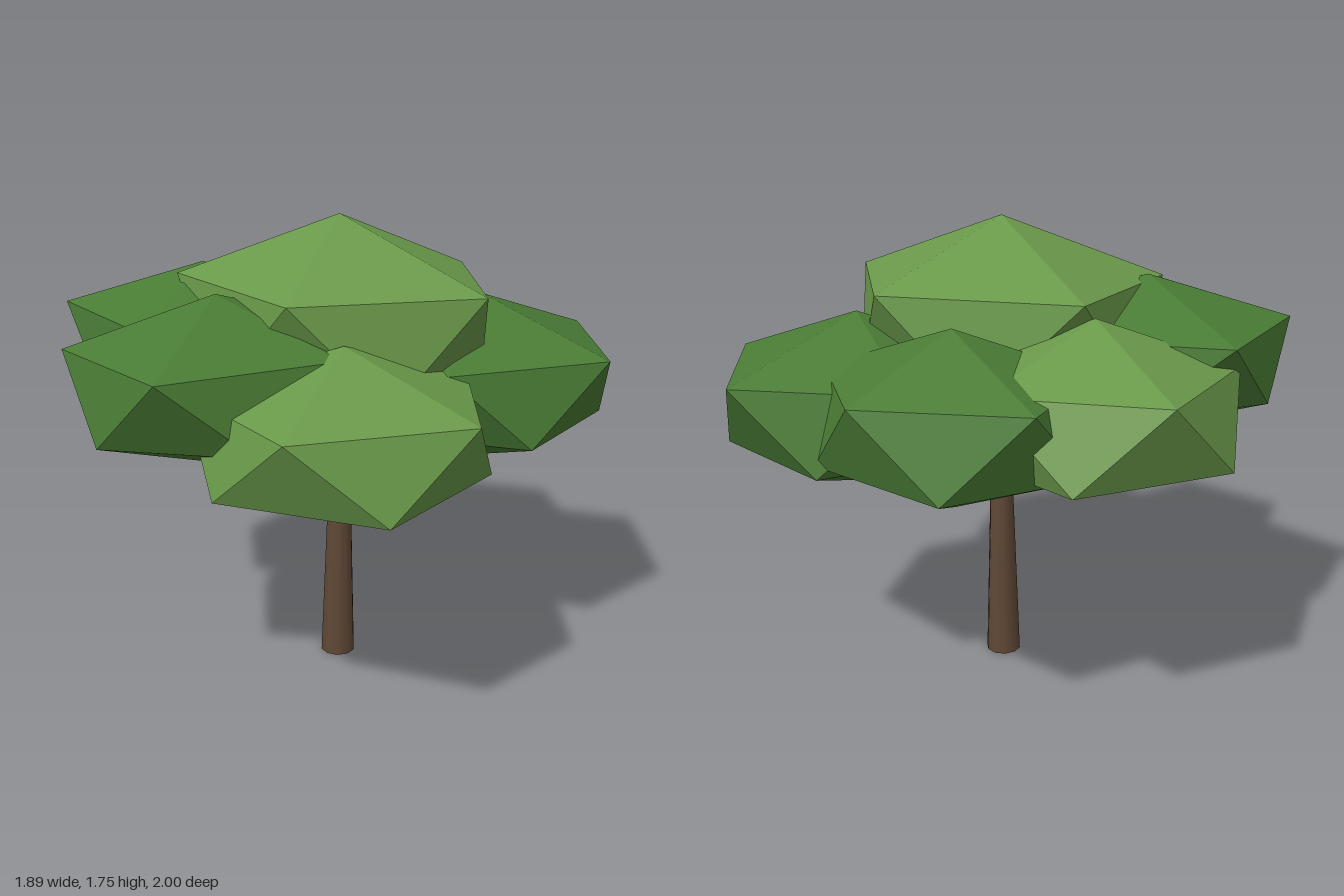
import * as THREE from 'three';

const mat = (name, color) => {
  const m = new THREE.MeshStandardMaterial({ color });
  m.name = name;
  return m;
};

// Faceted leaf clump: a squashed twenty-sided solid standing on a corner,
// with two five-cornered rings between its bottom and top points.
// taper is the size of the lower ring relative to the upper one.
function leafClump(name, material, { x, z, rx, rz, yaw, taper, bottom, top }) {
  const ring = (level, offset, scale) => Array.from({ length: 5 }, (_, i) => {
    const a = THREE.MathUtils.degToRad(yaw + offset + i * 72);
    return new THREE.Vector3(
      x + scale * rx * Math.cos(a),
      THREE.MathUtils.lerp(bottom, top, level),
      z + scale * rz * Math.sin(a));
  });
  const upper = ring(0.72, 0, 1), lower = ring(0.28, 36, taper);
  const apex = new THREE.Vector3(x, top, z), base = new THREE.Vector3(x, bottom, z);
  const points = [];
  for (let i = 0; i < 5; i++) {
    const j = (i + 1) % 5;
    points.push(apex, upper[j], upper[i]);
    points.push(upper[i], upper[j], lower[i]);
    points.push(upper[j], lower[j], lower[i]);
    points.push(lower[i], lower[j], base);
  }
  const geometry = new THREE.BufferGeometry().setFromPoints(points);
  geometry.computeVertexNormals();
  const mesh = new THREE.Mesh(geometry, material);
  mesh.name = name;
  return mesh;
}

// Tapered limb between two points
function limb(name, from, to, r0, r1, material, sides) {
  const dir = to.clone().sub(from);
  const mesh = new THREE.Mesh(new THREE.CylinderGeometry(r1, r0, dir.length(), sides), material);
  mesh.position.copy(from).add(to).multiplyScalar(0.5);
  mesh.quaternion.setFromUnitVectors(new THREE.Vector3(0, 1, 0), dir.normalize());
  mesh.name = name;
  return mesh;
}

export function createModel() {
  const tree = new THREE.Group();
  tree.name = 'tree';
  const bark = mat('bark brown', 0x5f4836);
  const light = mat('light leaf green', 0x6a994a);
  const dark = mat('dark leaf green', 0x4a7c35);

  // Trunk
  const foot = new THREE.Vector3(0.065, 0, -0.02);
  const head = new THREE.Vector3(0.07, 0.8, -0.02);
  tree.add(limb('trunk', foot, head, 0.068, 0.042, bark, 10));

  // Branches fanning out of the trunk top, their butts showing as a collar
  for (const degrees of [-100, -26, 86, 163]) {
    const a = THREE.MathUtils.degToRad(degrees);
    const out = new THREE.Vector3(Math.cos(a), 0.72, Math.sin(a));
    const start = new THREE.Vector3(0.07, 0.765, -0.02).addScaledVector(out, -0.02);
    const tip = start.clone().addScaledVector(out, 0.34);
    tree.add(limb('branch', start, tip, 0.034, 0.024, bark, 8));
  }

  // Leaf clumps: one on top, six around it
  tree.add(
    leafClump('crownClump', light,
      { x: 0.07, z: -0.01, rx: 0.62, rz: 0.55, yaw: 0, taper: 0.88, bottom: 0.95, top: 1.75 }),
    leafClump('frontClump', dark,
      { x: -0.05, z: 0.51, rx: 0.48, rz: 0.545, yaw: -8, taper: 0.9, bottom: 0.93, top: 1.53 }),
    leafClump('frontRightClump', dark,
      { x: -0.43, z: 0.18, rx: 0.55, rz: 0.5, yaw: 0, taper: 0.86, bottom: 0.97, top: 1.55 }),
    leafClump('backRightClump', light,
      { x: -0.45, z: -0.29, rx: 0.5, rz: 0.48, yaw: 0, taper: 1, bottom: 0.86, top: 1.48 }),
    leafClump('backClump', dark,
      { x: -0.07, z: -0.57, rx: 0.5, rz: 0.44, yaw: -6, taper: 0.97, bottom: 0.84, top: 1.46 }),
    leafClump('backLeftClump', dark,
      { x: 0.42, z: -0.43, rx: 0.52, rz: 0.54, yaw: -2, taper: 0.9, bottom: 0.8, top: 1.44 }),
    leafClump('frontLeftClump', light,
      { x: 0.4, z: 0.39, rx: 0.52, rz: 0.52, yaw: 0, taper: 0.95, bottom: 0.8, top: 1.4 }),
  );
  return tree;
}
